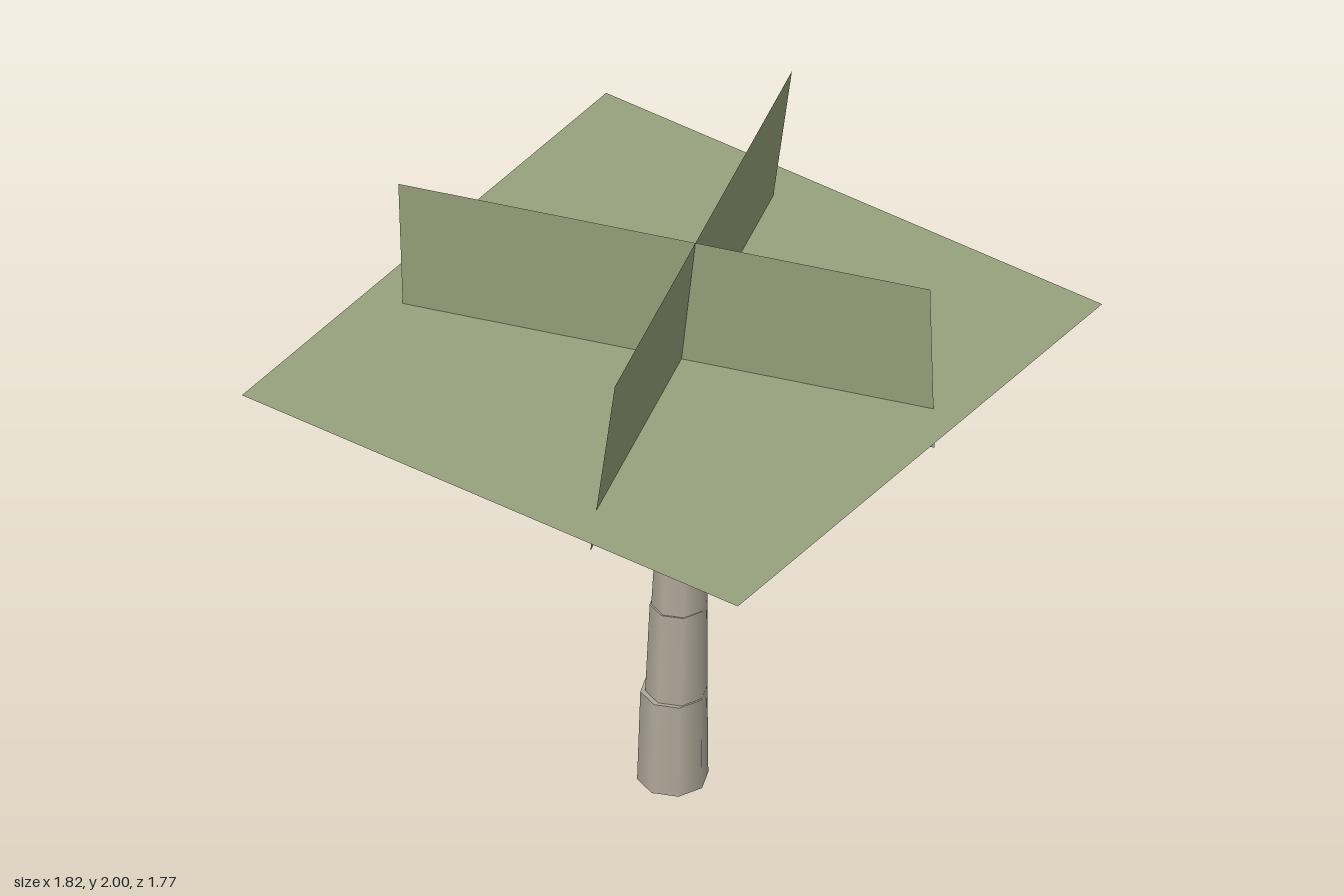
import * as THREE from 'three';

const bark = new THREE.MeshStandardMaterial({ color: 0xb0a798 });
const leaf = new THREE.MeshStandardMaterial({ color: 0x98a27d, side: THREE.DoubleSide });

// Trunk section leaning from one ring centre to the next
function trunkSection(y0, y1, a, b) {
  const geo = new THREE.CylinderGeometry(b.r, a.r, y1 - y0, 8);
  const p = geo.attributes.position;
  for (let i = 0; i < p.count; i++) {
    const end = p.getY(i) < 0 ? a : b;
    p.setXYZ(i, p.getX(i) + end.x, p.getY(i) < 0 ? y0 : y1, p.getZ(i) + end.z);
  }
  return new THREE.Mesh(geo, bark);
}

// Flat quad whose top edge runs a-b and bottom edge runs c-d
function card(name, a, b, c, d) {
  const geo = new THREE.PlaneGeometry(1, 1);
  [a, b, c, d].forEach((v, i) => geo.attributes.position.setXYZ(i, ...v));
  geo.computeVertexNormals();
  const mesh = new THREE.Mesh(geo, leaf);
  mesh.name = name;
  return mesh;
}

export function createModel() {
  const tree = new THREE.Group();
  tree.name = 'tree';

  // Trunk: five stacked sections, each a little narrower than the one below
  const trunk = new THREE.Group();
  trunk.name = 'trunk';
  const rings = [
    [{ x: 0, z: 0, r: 0.105 }, { x: 0.003, z: 0.002, r: 0.099 }],
    [{ x: 0.01, z: 0.006, r: 0.092 }, { x: 0.015, z: 0.01, r: 0.085 }],
    [{ x: 0.018, z: 0.011, r: 0.083 }, { x: 0.023, z: 0.017, r: 0.074 }],
    [{ x: 0.025, z: 0.018, r: 0.071 }, { x: 0.028, z: 0.02, r: 0.062 }],
    [{ x: 0.03, z: 0.02, r: 0.06 }, { x: 0.03, z: 0.022, r: 0.047 }],
  ];
  const heights = [0, 0.315, 0.625, 0.935, 1.24, 1.55];
  rings.forEach(([a, b], i) => {
    const section = trunkSection(heights[i], heights[i + 1], a, b);
    section.name = `trunkSection${i + 1}`;
    trunk.add(section);
  });
  tree.add(trunk);

  // Foliage: one level card and two leaning cards that cross
  const foliage = new THREE.Group();
  foliage.name = 'foliage';
  const h = 1.54, top = 2, low = 1.39;
  foliage.add(
    card('levelFoliage', [-0.91, h, -0.89], [0.91, h, -0.89], [-0.91, h, 0.885], [0.91, h, 0.885]),
    card('wideFoliage', [-0.75, top, 0.33], [0.805, top, -0.15], [-0.775, low, 0.26], [0.78, low, -0.22]),
    card('deepFoliage', [-0.31, top, -0.76], [0.17, top, 0.8], [-0.26, low, -0.775], [0.22, low, 0.78]),
  );
  tree.add(foliage);
  return tree;
}
